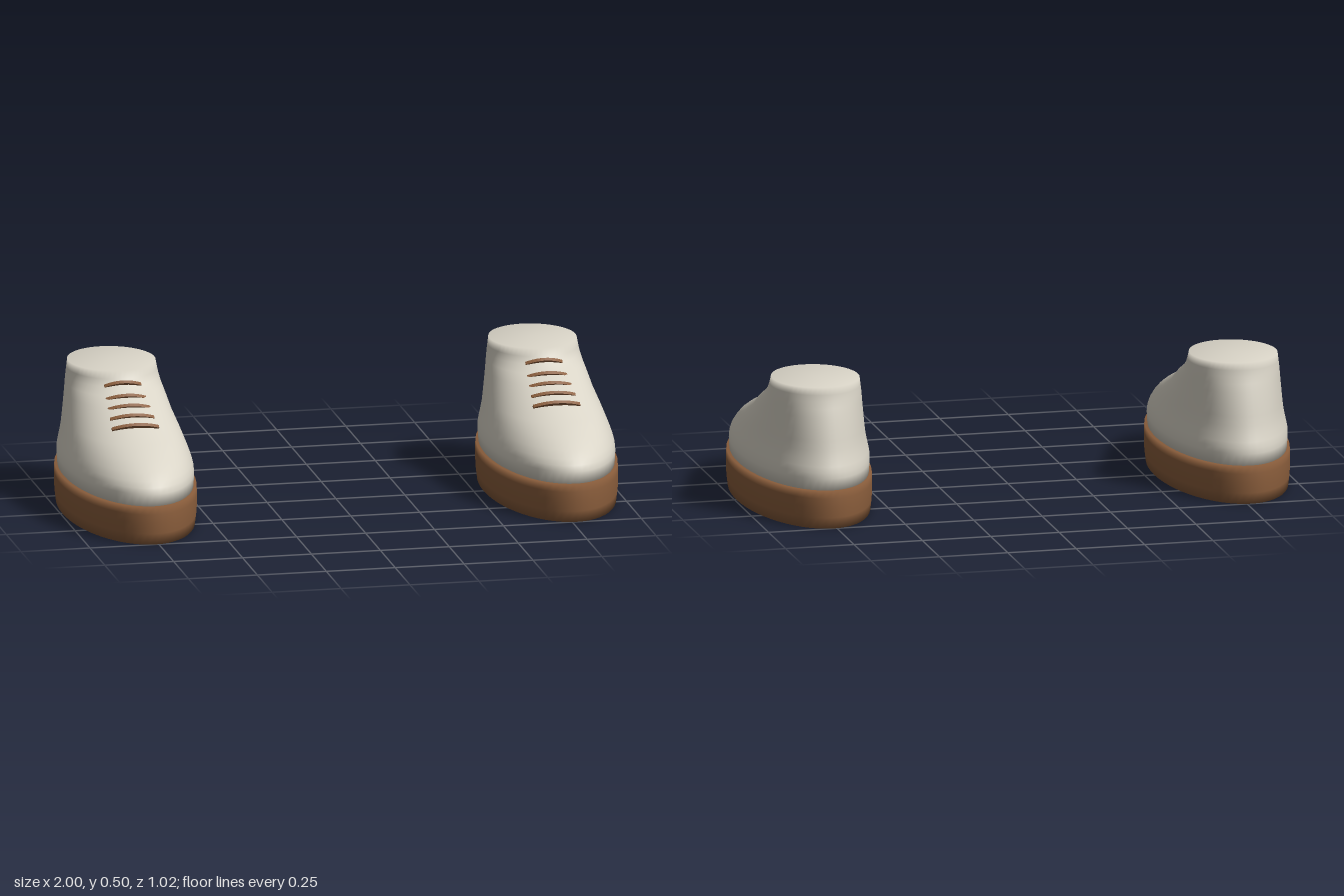
import * as THREE from 'three';

const leather = new THREE.MeshStandardMaterial({ color: 0xd9d4c7 });
leather.name = 'cream leather';
const rubber = new THREE.MeshStandardMaterial({ color: 0x8b5e3c });
rubber.name = 'brown rubber';

// Closed loft through horizontal ellipses: [y, front z, back z, half width]
function loft(rings, sides = 56) {
  const positions = [], index = [];
  for (const [y, front, back, width] of rings) {
    const mid = (front + back) / 2, half = (front - back) / 2;
    for (let i = 0; i < sides; i++) {
      const a = (i / sides) * Math.PI * 2;
      positions.push(width * Math.sin(a), y, mid + half * Math.cos(a));
    }
  }
  const bottom = rings.length * sides, top = bottom + 1;
  for (const r of [rings[0], rings[rings.length - 1]]) positions.push(0, r[0], (r[1] + r[2]) / 2);
  const last = (rings.length - 1) * sides;
  for (let i = 0; i < sides; i++) {
    const n = (i + 1) % sides;
    for (let r = 0; r < last; r += sides) {
      index.push(r + i, r + n, r + sides + n, r + i, r + sides + n, r + sides + i);
    }
    index.push(bottom, n, i, top, last + i, last + n);
  }
  const geometry = new THREE.BufferGeometry();
  geometry.setAttribute('position', new THREE.Float32BufferAttribute(positions, 3));
  geometry.setIndex(index);
  geometry.computeVertexNormals();
  return geometry;
}

// Thin bowed slab standing out from the instep
function laceGeometry(half) {
  const bow = 0.02, h = 0.014, t = 0.012;
  const shape = new THREE.Shape();
  shape.moveTo(-half, -h - bow);
  shape.quadraticCurveTo(0, -h + bow, half, -h - bow);
  shape.lineTo(half, h - bow);
  shape.quadraticCurveTo(0, h + bow, -half, h - bow);
  shape.closePath();
  const geometry = new THREE.ExtrudeGeometry(shape, { depth: t, bevelEnabled: false, curveSegments: 10 });
  return geometry.translate(0, 0, -t / 2);
}

const soleRings = [
  [0, 0.5, -0.5, 0.229],
  [0.04, 0.505, -0.505, 0.234],
  [0.08, 0.508, -0.508, 0.236],
  [0.11, 0.507, -0.507, 0.236],
  [0.138, 0.505, -0.505, 0.234],
];

const upperRings = [
  [0.13, 0.493, -0.495, 0.223],
  [0.18, 0.488, -0.494, 0.227],
  [0.2, 0.477, -0.492, 0.226],
  [0.22, 0.46, -0.485, 0.222],
  [0.245, 0.425, -0.476, 0.215],
  [0.275, 0.37, -0.468, 0.206],
  [0.308, 0.289, -0.461, 0.197],
  [0.346, 0.18, -0.453, 0.186],
  [0.39, 0.09, -0.442, 0.176],
  [0.42, 0.016, -0.433, 0.169],
  [0.445, -0.028, -0.425, 0.164],
  [0.468, -0.046, -0.421, 0.16],
  [0.495, -0.06, -0.417, 0.156],
];

// Lace centres up the instep: [y, z, half width]
const laceRows = [
  [0.35, 0.176, 0.085],
  [0.371, 0.12, 0.08],
  [0.394, 0.068, 0.077],
  [0.417, 0.015, 0.073],
  [0.452, -0.039, 0.067],
];

function createShoe(name) {
  const shoe = new THREE.Group();
  shoe.name = name;
  const add = (part, geometry, material) => {
    const mesh = new THREE.Mesh(geometry, material);
    mesh.name = part;
    shoe.add(mesh);
    return mesh;
  };
  add('sole', loft(soleRings), rubber);
  add('upper', loft(upperRings), leather);
  laceRows.forEach(([y, z, half], i) => {
    const lace = add(`lace${i + 1}`, laceGeometry(half), rubber);
    lace.position.set(0, y, z);
    lace.rotation.x = 0.75;
  });
  return shoe;
}

export function createModel() {
  const model = new THREE.Group();
  model.name = 'pairOfShoes';
  for (const [name, side] of [['leftShoe', 1], ['rightShoe', -1]]) {
    const shoe = createShoe(name);
    shoe.position.x = side * 0.764;
    model.add(shoe);
  }
  return model;
}
